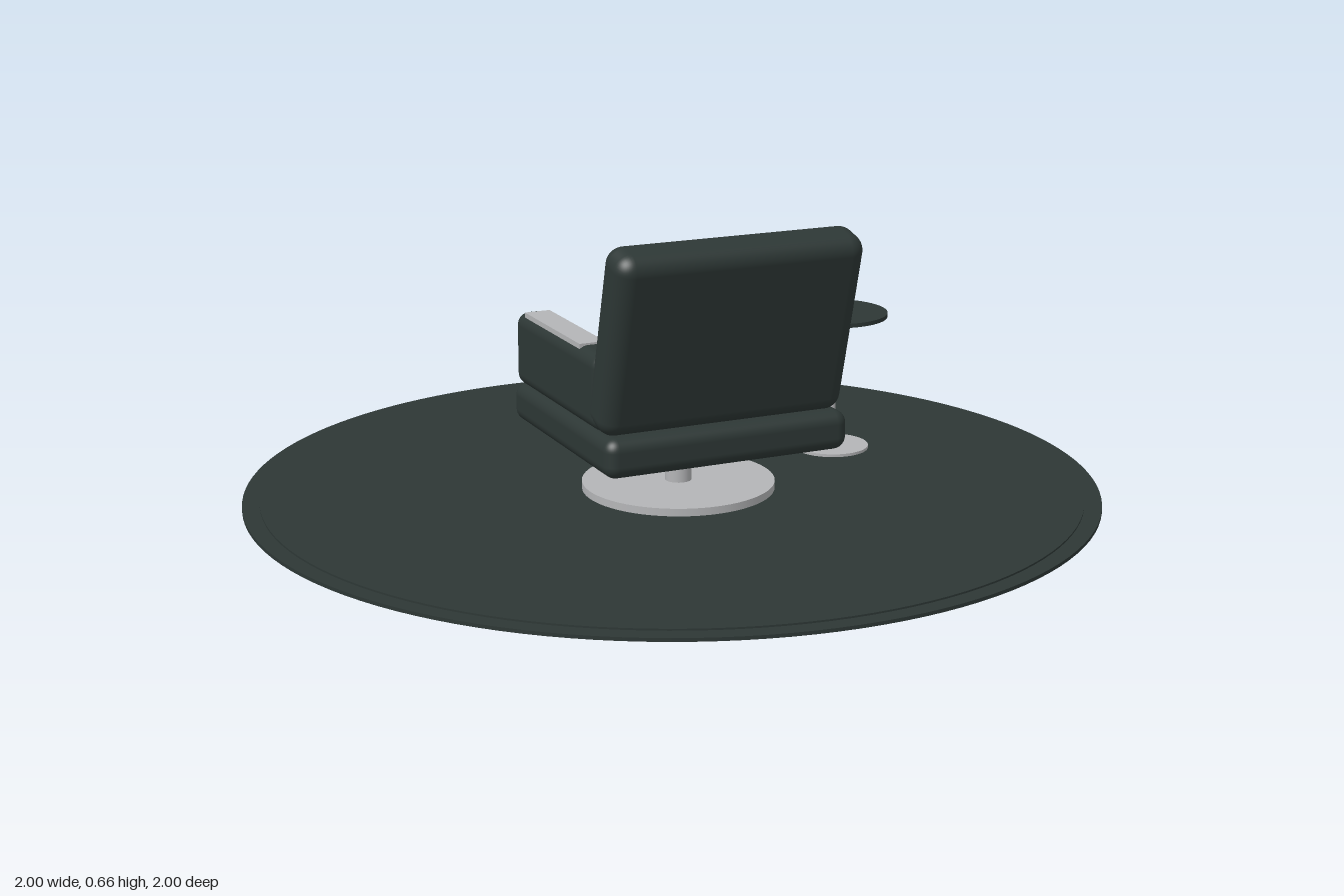
import * as THREE from 'three';
import { RoundedBoxGeometry } from 'three/addons/geometries/RoundedBoxGeometry.js';

export function createModel() {
  const model = new THREE.Group();
  const dark = new THREE.MeshStandardMaterial({ color: 0x2d3735 });
  dark.name = 'charcoal';
  const metal = new THREE.MeshStandardMaterial({ color: 0xb4b5b7 });
  metal.name = 'brushedSteel';

  const add = (parent, name, geometry, material, x, y, z) => {
    const mesh = new THREE.Mesh(geometry, material);
    mesh.name = name;
    mesh.position.set(x, y, z);
    parent.add(mesh);
    return mesh;
  };
  const pad = (w, h, d, r) => new RoundedBoxGeometry(w, h, d, 5, r);
  // Upright disc or post standing between two heights
  const disc = (parent, name, r, y0, y1, material, x, z, sides = 64) =>
    add(parent, name, new THREE.CylinderGeometry(r, r, y1 - y0, sides), material, x, (y0 + y1) / 2, z);

  // Round rug with a slightly raised inner field
  disc(model, 'rugBorder', 1, 0, 0.008, dark, 0, 0, 128);
  disc(model, 'rugField', 0.96, 0.004, 0.012, dark, 0, 0, 128);

  // Swivel armchair, seat opening toward -z
  const chair = new THREE.Group();
  chair.name = 'armchair';
  model.add(chair);
  disc(chair, 'swivelBase', 0.226, 0.012, 0.03, metal, 0, 0.035);
  disc(chair, 'swivelColumn', 0.031, 0.03, 0.15, metal, 0, 0.035, 32);
  add(chair, 'seatPlatform', pad(0.6, 0.092, 0.57, 0.03), dark, 0, 0.185, 0.03);
  add(chair, 'seatCushion', pad(0.45, 0.11, 0.44, 0.03), dark, 0, 0.26, -0.015);

  // Backrest and its cushion lean back together
  const lean = THREE.MathUtils.degToRad(15);
  add(chair, 'backrest', pad(0.6, 0.44, 0.11, 0.04), dark, 0, 0.445, 0.285).rotation.x = lean;
  add(chair, 'backCushion', pad(0.43, 0.31, 0.09, 0.03), dark, 0, 0.45, 0.22).rotation.x = lean;

  // Arms with steel caps
  for (const [side, s] of [['left', 1], ['right', -1]]) {
    add(chair, side + 'Arm', pad(0.08, 0.175, 0.49, 0.03), dark, s * 0.259, 0.318, 0.005);
    add(chair, side + 'ArmCap', new THREE.BoxGeometry(0.062, 0.012, 0.33), metal, s * 0.258, 0.404, -0.03);
  }

  // Side table
  const table = new THREE.Group();
  table.name = 'sideTable';
  table.position.set(0.48, 0, -0.1);
  model.add(table);
  disc(table, 'tableFoot', 0.092, 0.012, 0.019, metal, 0, 0);
  disc(table, 'tablePole', 0.01, 0.018, 0.347, metal, 0, 0, 24);
  disc(table, 'tableTop', 0.133, 0.346, 0.356, dark, 0, 0);

  return model;
}
